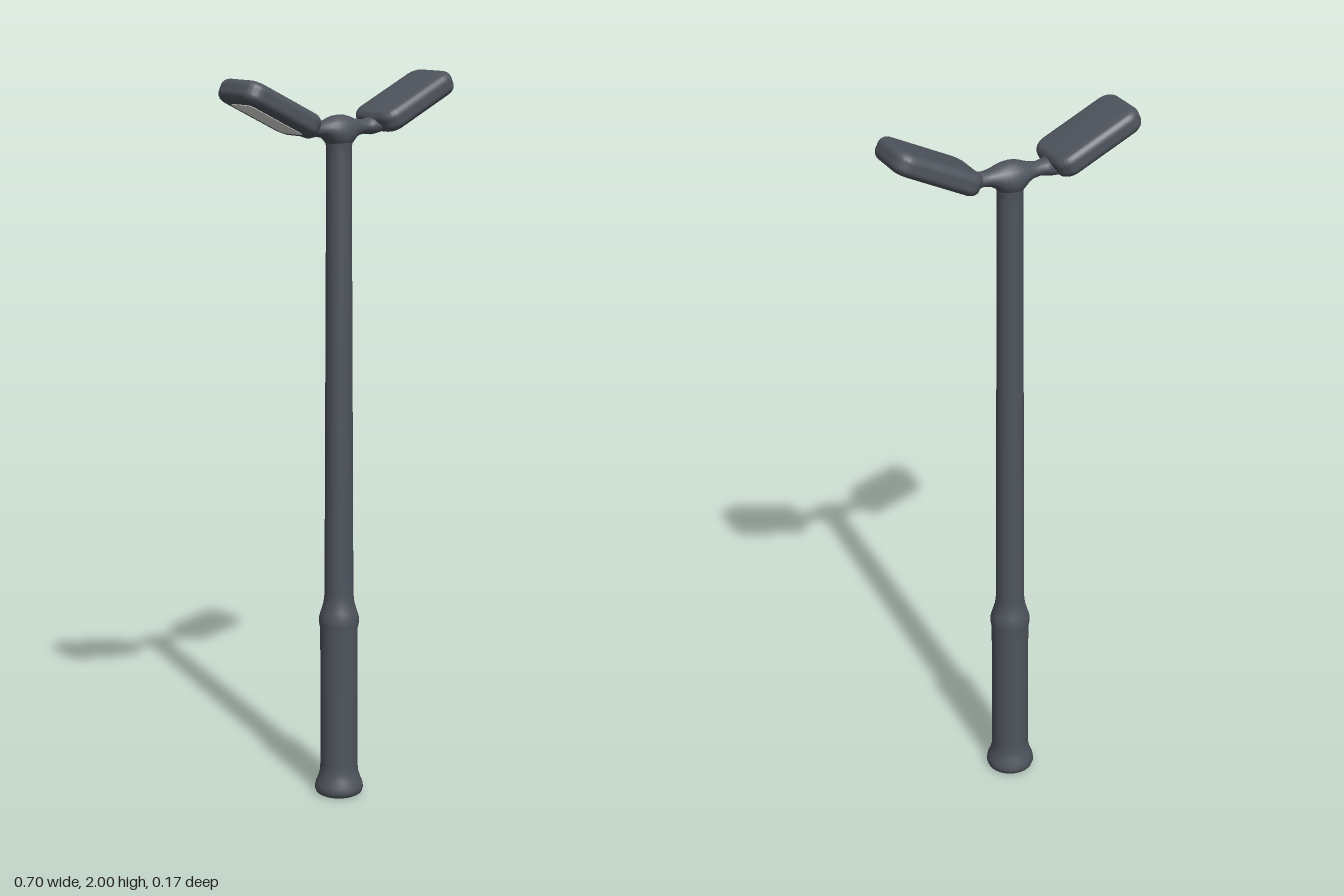
import * as THREE from 'three';
import { toCreasedNormals } from 'three/addons/utils/BufferGeometryUtils.js';

// Slab lying flat, with rounded plan corners and a rounded rim, centred on the origin
function roundedSlab(length, height, width, corner, rim) {
  const x = length / 2 - rim, y = width / 2 - rim, r = corner - rim;
  const s = new THREE.Shape();
  s.moveTo(-x + r, -y);
  s.lineTo(x - r, -y);
  s.absarc(x - r, -y + r, r, -Math.PI / 2, 0);
  s.lineTo(x, y - r);
  s.absarc(x - r, y - r, r, 0, Math.PI / 2);
  s.lineTo(-x + r, y);
  s.absarc(-x + r, y - r, r, Math.PI / 2, Math.PI);
  s.lineTo(-x, -y + r);
  s.absarc(-x + r, -y + r, r, Math.PI, Math.PI * 1.5);
  const depth = height - 2 * rim;
  const g = new THREE.ExtrudeGeometry(s, {
    depth, curveSegments: 6, bevelEnabled: true,
    bevelThickness: rim, bevelSize: rim, bevelSegments: 5,
  });
  g.translate(0, 0, -depth / 2);
  g.rotateX(-Math.PI / 2);
  return toCreasedNormals(g, 0.6);
}

// Loft of elliptical sections along x: [x, top, bottom, half depth]
function loftAlongX(sections, sides = 20) {
  const pos = [], idx = [];
  for (const [x, top, bottom, hz] of sections) {
    for (let i = 0; i < sides; i++) {
      const a = (i / sides) * Math.PI * 2;
      pos.push(x, (top + bottom) / 2 + Math.cos(a) * (top - bottom) / 2, Math.sin(a) * hz);
    }
  }
  for (let k = 0; k < sections.length - 1; k++) {
    for (let i = 0; i < sides; i++) {
      const j = (i + 1) % sides;
      const a = k * sides + i, b = k * sides + j, c = a + sides, d = b + sides;
      idx.push(a, b, c, b, d, c);
    }
  }
  const g = new THREE.BufferGeometry();
  g.setAttribute('position', new THREE.Float32BufferAttribute(pos, 3));
  g.setIndex(idx);
  g.computeVertexNormals();
  return g;
}

export function createModel() {
  const metal = new THREE.MeshStandardMaterial({ color: 0x4f545d });
  metal.name = 'dark grey metal';
  const glass = new THREE.MeshStandardMaterial({ color: 0xdededa });
  glass.name = 'pale grey lens';

  const model = new THREE.Group();
  model.name = 'doubleStreetLamp';
  const add = (parent, name, geometry, material) => {
    const mesh = new THREE.Mesh(geometry, material);
    mesh.name = name;
    parent.add(mesh);
    return mesh;
  };

  // Pole: hollowed flared foot, thick sleeve, collar and slender tapering shaft
  const profile = [
    [0, 0.04], [0.022, 0.035], [0.03, 0.008], [0.036, 0], [0.056, 0], [0.064, 0.005],
    [0.068, 0.016], [0.066, 0.03], [0.059, 0.048], [0.054, 0.065], [0.052, 0.09],
    [0.052, 0.48], [0.055, 0.495], [0.055, 0.515], [0.049, 0.535], [0.043, 0.555],
    [0.04, 0.58], [0.038, 1.0], [0.036, 1.4], [0.034, 1.79], [0.035, 1.815],
    [0.038, 1.835], [0.038, 1.85], [0.03, 1.865], [0, 1.875],
  ].map(([r, y]) => new THREE.Vector2(r, y));
  add(model, 'pole', new THREE.LatheGeometry(profile, 28), metal);

  // Crossarm swelling into a hub over the pole and flaring into the lamp heads
  const half = [
    [0, 1.896, 1.80, 0.043], [0.015, 1.895, 1.805, 0.042], [0.03, 1.891, 1.815, 0.038],
    [0.045, 1.885, 1.83, 0.032], [0.06, 1.881, 1.838, 0.027], [0.08, 1.879, 1.841, 0.024],
    [0.096, 1.882, 1.839, 0.027], [0.106, 1.885, 1.838, 0.036], [0.116, 1.888, 1.842, 0.052],
    [0.13, 1.89, 1.852, 0.055],
  ];
  const mirrored = half.slice(1).reverse().map(([x, ...rest]) => [-x, ...rest]);
  add(model, 'crossarm', loftAlongX([...mirrored, ...half]), metal);

  // Two upward tilted lamp heads, each with a lens underneath
  const headGeometry = roundedSlab(0.262, 0.06, 0.168, 0.042, 0.022);
  const lensGeometry = roundedSlab(0.19, 0.006, 0.094, 0.015, 0.001);
  for (const [side, label] of [[1, 'left'], [-1, 'right']]) {
    const head = new THREE.Group();
    head.name = label + 'LampHead';
    head.position.set(side * 0.227, 1.923, 0);
    head.rotation.z = side * THREE.MathUtils.degToRad(26);
    add(head, label + 'Housing', headGeometry, metal);
    add(head, label + 'Lens', lensGeometry, glass).position.set(-side * 0.003, -0.029, 0);
    model.add(head);
  }
  return model;
}
